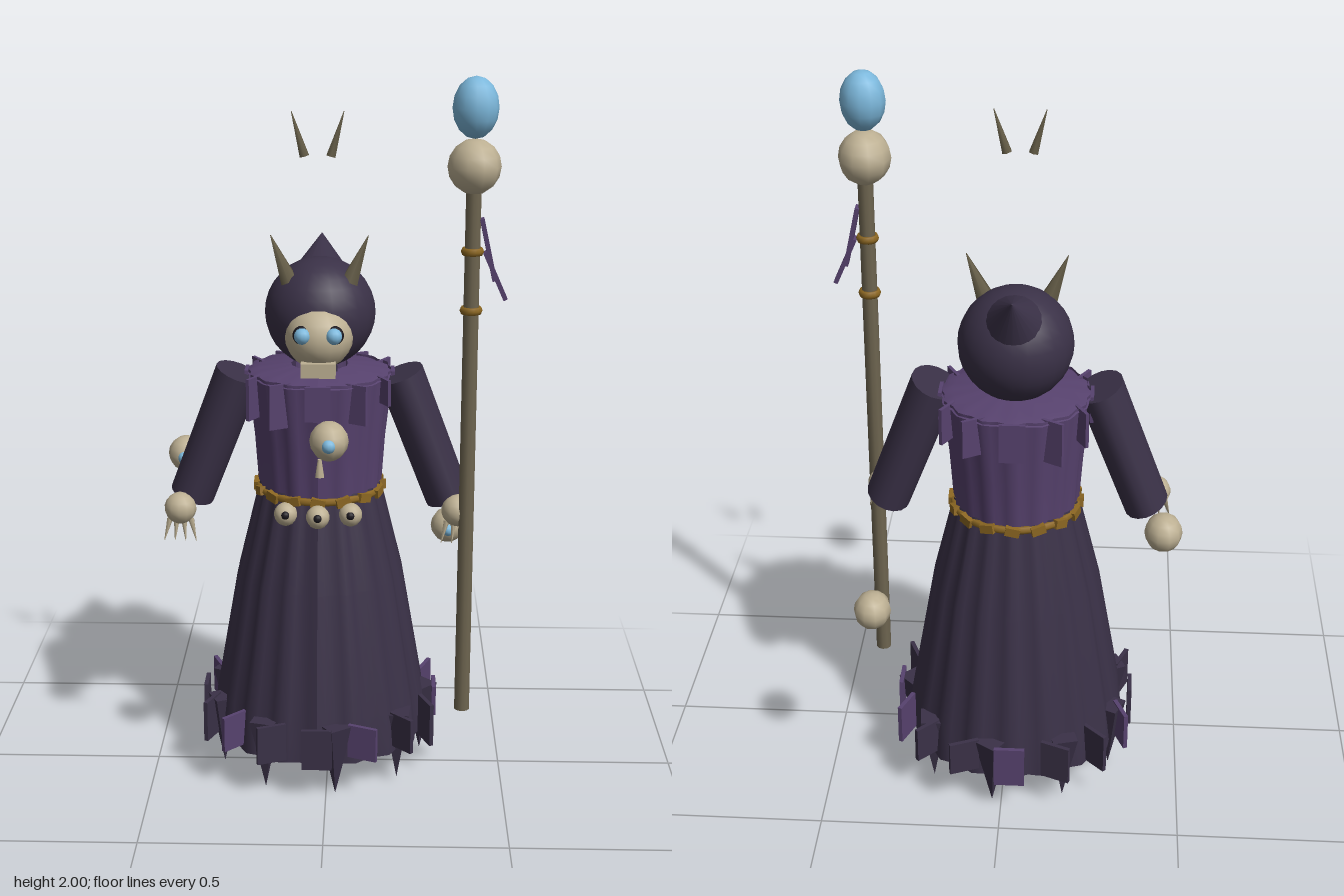
import * as THREE from 'three';

const CX = -0.025, CZ = -0.085; // robe axis
const TAU = Math.PI * 2;

const colour = (name, hex, side = THREE.FrontSide) => {
  const m = new THREE.MeshStandardMaterial({ color: hex, side });
  m.name = name;
  return m;
};

export function createModel() {
  const root = new THREE.Group();
  root.name = 'hoodedMage';
  const darkCloth = colour('darkCloth', 0x3a3147, THREE.DoubleSide);
  const purpleCloth = colour('purpleCloth', 0x57426e, THREE.DoubleSide);
  const bone = colour('bone', 0xbdb093);
  const wood = colour('wood', 0x6e6550);
  const horn = colour('horn', 0x655d47);
  const gold = colour('gold', 0x8c6722);
  const glow = colour('blueGlow', 0x7cb8dc);
  const black = colour('socketBlack', 0x1d1a20);

  let seed = 7;
  const rnd = () => (seed = (seed * 16807) % 2147483647) / 2147483647;

  const add = (name, geo, mat, x, y, z, parent = root) => {
    const m = new THREE.Mesh(geo, mat);
    m.name = name;
    m.position.set(x, y, z);
    parent.add(m);
    return m;
  };
  const ball = (name, mat, r, x, y, z, sx = 1, sy = 1, sz = 1, parent = root, w = 12, h = 9) => {
    const m = add(name, new THREE.SphereGeometry(r, w, h), mat, x, y, z, parent);
    m.scale.set(sx, sy, sz);
    return m;
  };
  // tapered rod between two points
  const rod = (name, mat, a, b, r0, r1, sides = 8) => {
    const A = new THREE.Vector3(...a), B = new THREE.Vector3(...b), d = B.clone().sub(A);
    const m = add(name, new THREE.CylinderGeometry(r1, r0, d.length(), sides), mat, 0, 0, 0);
    m.position.copy(A).add(B).multiplyScalar(0.5);
    m.quaternion.setFromUnitVectors(new THREE.Vector3(0, 1, 0), d.normalize());
    return m;
  };
  // pleated open cloth tube; rag makes the lower edge uneven
  const cloth = (name, mat, profile, pleats, depth, rag) => {
    const g = new THREE.LatheGeometry(profile.map(p => new THREE.Vector2(...p)), pleats * 4);
    const p = g.attributes.position, yMin = profile[0][1], n = profile.length;
    for (let i = 0; i < p.count; i++) {
      const k = Math.floor(i / n) % (pleats * 4);
      const s = 1 + depth * Math.cos(k * Math.PI / 2);
      let y = p.getY(i);
      if (rag && y === yMin) y += rag * (0.5 + 0.5 * Math.sin(k * 2.3));
      p.setXYZ(i, p.getX(i) * s, y, p.getZ(i) * s);
    }
    g.computeVertexNormals();
    return add(name, g, mat, CX, 0, CZ);
  };

  // robe
  cloth('skirt', darkCloth, [[0.307, 0.1], [0.295, 0.22], [0.233, 0.58], [0.168, 0.85]], 18, 0.03, 0.05);
  cloth('torso', purpleCloth, [[0.17, 0.83], [0.18, 0.98], [0.2, 1.16], [0.2, 1.175]], 16, 0.025, 0);
  cloth('collar', purpleCloth, [[0.205, 1.165], [0.17, 1.178], [0.08, 1.19]], 16, 0.02, 0);

  // hem: torn patches and hanging points
  const hem = new THREE.Group();
  hem.name = 'tornHem';
  root.add(hem);
  for (let i = 0; i < 16; i++) {
    const a = i / 16 * TAU, h = 0.09 + rnd() * 0.04;
    const patch = add('hemPatch', new THREE.BoxGeometry(0.085, h, 0.012), i % 3 ? darkCloth : purpleCloth,
      CX + 0.335 * Math.cos(a), 0.22 - h / 2, CZ + 0.335 * Math.sin(a), hem);
    patch.rotation.y = a + Math.PI / 2;
  }
  const pointGeo = new THREE.ConeGeometry(0.05, 0.21, 4).toNonIndexed();
  pointGeo.rotateX(Math.PI);
  pointGeo.computeVertexNormals();
  for (let i = 0; i < 9; i++) {
    const a = i / 9 * TAU;
    const pt = add('hemPoint', pointGeo, darkCloth, CX + 0.295 * Math.cos(a), 0.11, CZ + 0.295 * Math.sin(a), hem);
    pt.rotation.y = a;
  }

  // torn strips round the shoulders
  for (let i = 0; i < 12; i++) {
    const a = i / 12 * TAU, h = 0.07 + rnd() * 0.06;
    const strip = add('shoulderStrip', new THREE.BoxGeometry(0.07, h, 0.01), purpleCloth,
      CX + 0.205 * Math.cos(a), 1.175 - h / 2, CZ + 0.205 * Math.sin(a));
    strip.rotation.y = a + Math.PI / 2;
  }

  // belt with links
  const belt = add('belt', new THREE.TorusGeometry(0.172, 0.011, 6, 36), gold, CX, 0.835, CZ);
  belt.rotation.x = Math.PI / 2;
  for (let i = 0; i < 16; i++) {
    const a = i / 16 * TAU;
    const link = add('beltLink', new THREE.BoxGeometry(0.04, 0.025, 0.02), gold,
      CX + 0.178 * Math.cos(a), 0.835, CZ + 0.178 * Math.sin(a));
    link.rotation.y = Math.PI / 2 - a;
    link.rotation.z = i % 2 ? 0.2 : -0.2;
  }

  // trophies on the belt and chest
  for (const [dx, z] of [[-0.09, 0.085], [0, 0.11], [0.09, 0.085]]) {
    ball('beltSkull', bone, 0.033, CX + dx, 0.8, z);
    ball('beltSkullSocket', black, 0.012, CX + dx, 0.805, z + 0.026);
  }
  add('chestCharm', new THREE.CylinderGeometry(0.006, 0.014, 0.05, 6), bone, CX + 0.005, 0.94, 0.102);

  // arms, hands and claws
  for (const s of [-1, 1]) {
    const sleeve = rod('sleeve', darkCloth, [CX + s * 0.362, 0.815, -0.048], [CX + s * 0.225, 1.172, -0.048], 0.063, 0.066, 16);
    sleeve.scale.z = 1.4;
    const hx = CX + s * 0.388;
    ball('hand', bone, 0.045, hx, 0.8, 0.04);
    for (let i = 0; i < 4; i++) {
      const o = (i - 1.5) * 0.02;
      rod('claw', bone, [hx + o, 0.77, 0.045], [hx + o * 1.5, 0.71, 0.06], 0.009, 0.001, 5);
    }
  }

  // hood with swept-back peak
  ball('hood', darkCloth, 0.155, CX, 1.33, -0.118, 1, 1, 1, root, 24, 16);
  rod('hoodPeak', darkCloth, [CX, 1.4, -0.175], [CX, 1.52, -0.297], 0.098, 0.001, 20);

  // skull face
  ball('skull', bone, 0.095, CX, 1.285, -0.012, 1, 0.95, 1, root, 16, 12);
  add('jaw', new THREE.BoxGeometry(0.095, 0.04, 0.07), bone, CX, 1.207, 0.04);
  add('neck', new THREE.CylinderGeometry(0.05, 0.06, 0.06, 10), darkCloth, CX, 1.18, -0.02);
  for (const s of [-1, 1]) {
    ball('eyeSocket', black, 0.027, CX + s * 0.043, 1.303, 0.055, 1, 1, 0.9);
    ball('eye', glow, 0.023, CX + s * 0.043, 1.303, 0.066);
    rod('hoodHorn', horn, [CX + s * 0.08, 1.42, -0.06], [CX + s * 0.134, 1.557, -0.058], 0.028, 0.001, 6);
    rod('floatingHorn', horn, [CX + s * 0.035, 1.79, 0.07], [CX + s * 0.069, 1.907, 0.07], 0.014, 0.001, 6);
  }

  // staff
  const SX = 0.386, SZ = 0.073;
  rod('staffShaft', wood, [SX, 0.21, SZ], [SX, 1.73, SZ], 0.022, 0.021, 10);
  ball('staffSkull', bone, 0.071, SX, 1.766, 0.078, 1, 1.03, 1.18, root, 10, 8);
  ball('staffCrystal', glow, 0.061, SX, 1.919, 0.08, 1, 1.33, 1, root, 12, 8);
  for (const y of [1.38, 1.54]) {
    const ring = add('staffBand', new THREE.TorusGeometry(0.023, 0.008, 6, 14), gold, SX, y, SZ);
    ring.rotation.x = Math.PI / 2;
    ring.scale.z = 1.4;
  }
  for (const [x, y, len, tilt] of [[0.428, 1.545, 0.17, 0.22], [0.448, 1.475, 0.14, 0.42]]) {
    const ribbon = add('staffRibbon', new THREE.BoxGeometry(0.012, len, 0.033), purpleCloth, x, y, SZ);
    ribbon.rotation.z = tilt;
  }

  // floating one-eyed skulls
  for (const [x, y, z] of [[0.013, 1.1, 0.367], [-0.43, 0.86, -0.282], [0.353, 0.62, -0.342]]) {
    const orb = new THREE.Group();
    orb.name = 'floatingSkull';
    orb.position.set(x, y, z);
    root.add(orb);
    ball('orbSkull', bone, 0.051, 0, 0, 0, 1, 1.02, 1.15, orb, 10, 8);
    ball('orbEye', glow, 0.019, 0, 0, 0.047, 1, 1, 1, orb);
  }
  return root;
}
